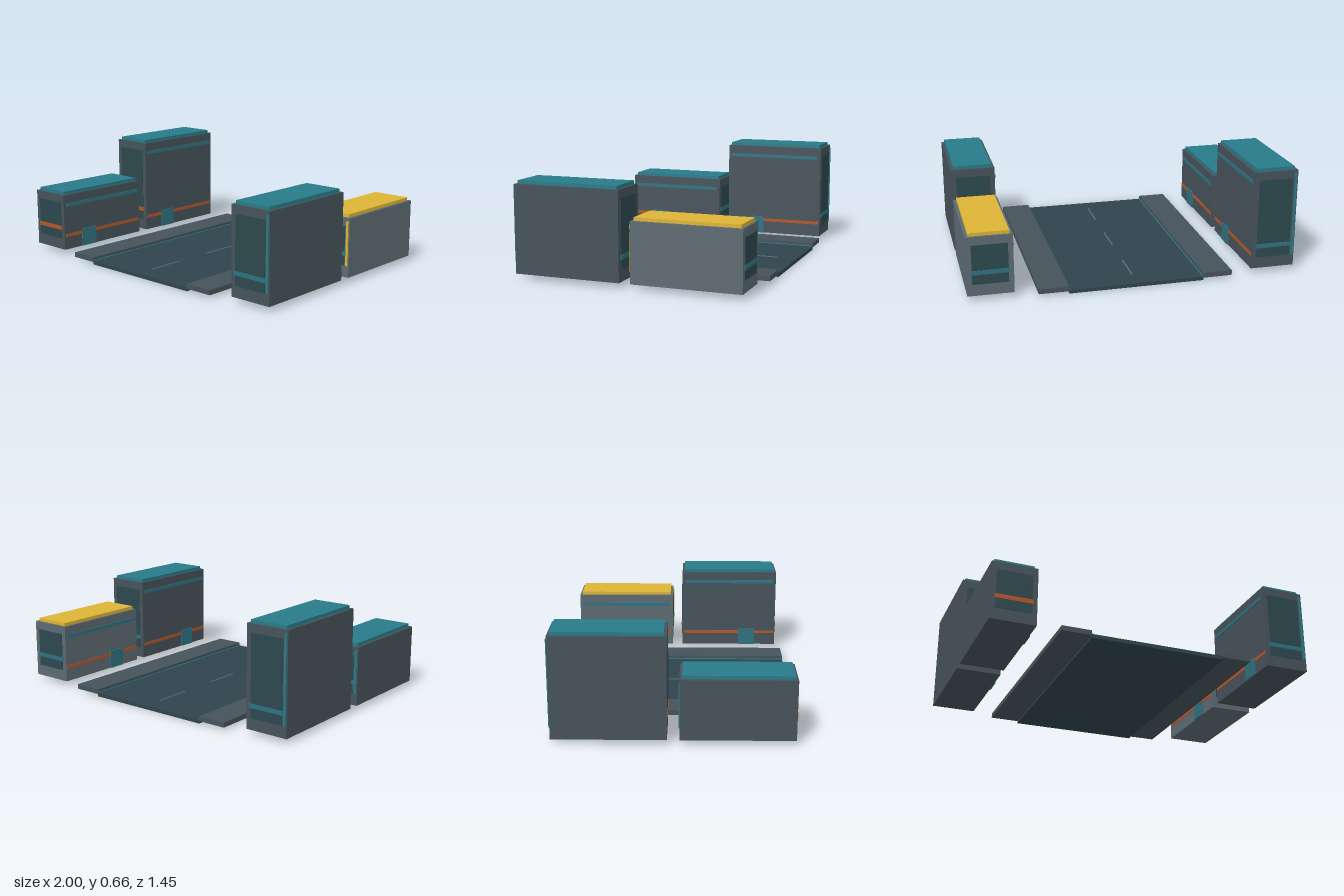
import * as THREE from 'three';

const material = (color) => new THREE.MeshStandardMaterial({ color });
const M = {
  wall: material(0x46525a),
  paleWall: material(0x5d6b72),
  road: material(0x2f444d),
  glass: material(0x2c484e),
  teal: material(0x287b88),
  paleTeal: material(0x2f7280),
  orange: material(0xb2562a),
  yellow: material(0xdcb436),
  line: material(0x55707a),
};

// Box given by its [min, max] range on each axis
function box(parent, name, mat, x, y, z) {
  const [w, h, d] = [x, y, z].map(([a, b]) => Math.abs(b - a));
  const mesh = new THREE.Mesh(new THREE.BoxGeometry(w, h, d), mat);
  mesh.position.set((x[0] + x[1]) / 2, (y[0] + y[1]) / 2, (z[0] + z[1]) / 2);
  mesh.name = name;
  parent.add(mesh);
  return mesh;
}

// Building on one side of the road (side = +1 or -1), facade towards the road
function building({ name, side, zMid, top, wall, roof, frontSign }) {
  const g = new THREE.Group();
  g.name = name;
  const across = (a, b) => [side * a, side * b];
  const half = 0.33;

  box(g, 'body', wall, across(0.725, 0.998), [0.03, top], [-half, half]);
  box(g, 'roofSlab', roof, across(0.742, 0.98), [top, top + 0.02], [-0.315, 0.315]);

  // Facade: upper light band, low light band and door
  box(g, 'upperBand', M.paleTeal, across(0.719, 0.73), [top - 0.077, top - 0.055], [-0.31, 0.31]);
  box(g, 'lowerBand', M.orange, across(0.721, 0.73), [0.112, 0.132], [-0.32, 0.32]);
  box(g, 'door', M.paleTeal, across(0.718, 0.73), [0.03, 0.145], [0.07, 0.185]);

  // End walls: window panel with a sign strip
  for (const end of [1, -1]) {
    const out = (d) => [end * (half - 0.01), end * (half + d)];
    box(g, 'endWindow', M.glass, across(0.755, 0.967), [0.1, top - 0.05], out(0.003));
    box(g, 'endSign', end > 0 ? frontSign : M.paleTeal, across(0.747, 0.974), [0.16, 0.186], out(0.006));
  }

  // Vertical light strip near the outer corner
  const end = side;
  box(g, 'cornerStrip', roof, across(0.977, 0.991), [0.1, top - 0.02], [end * (half - 0.01), end * (half + 0.006)]);

  g.position.z = zMid;
  return g;
}

export function createModel() {
  const model = new THREE.Group();
  model.name = 'streetBlock';

  // Road, kerb lines and pavements
  const street = new THREE.Group();
  street.name = 'street';
  model.add(street);
  box(street, 'road', M.road, [-0.41, 0.41], [0, 0.023], [-0.727, 0.727]);
  for (const s of [1, -1]) {
    box(street, 'pavement', M.wall, [s * 0.41, s * 0.59], [0.015, 0.045], [-0.727, 0.727]);
    box(street, 'kerbLine', M.teal, [s * 0.404, s * 0.411], [0.02, 0.028], [-0.725, 0.725]);
  }
  for (const z of [-0.487, 0, 0.487])
    box(street, 'laneDash', M.line, [-0.004, 0.004], [0.02, 0.027], [z - 0.118, z + 0.118]);

  // Four buildings, two on each side
  const near = 0.365, far = -0.365;
  const list = [
    { name: 'leftFrontBuilding', side: 1, zMid: near, top: 0.56, wall: M.wall, roof: M.teal, frontSign: M.paleTeal },
    { name: 'leftBackBuilding', side: 1, zMid: far, top: 0.39, wall: M.paleWall, roof: M.yellow, frontSign: M.paleTeal },
    { name: 'rightFrontBuilding', side: -1, zMid: near, top: 0.39, wall: M.wall, roof: M.teal, frontSign: M.orange },
    { name: 'rightBackBuilding', side: -1, zMid: far, top: 0.64, wall: M.wall, roof: M.teal, frontSign: M.orange },
  ];
  for (const b of list) model.add(building(b));

  return model;
}
